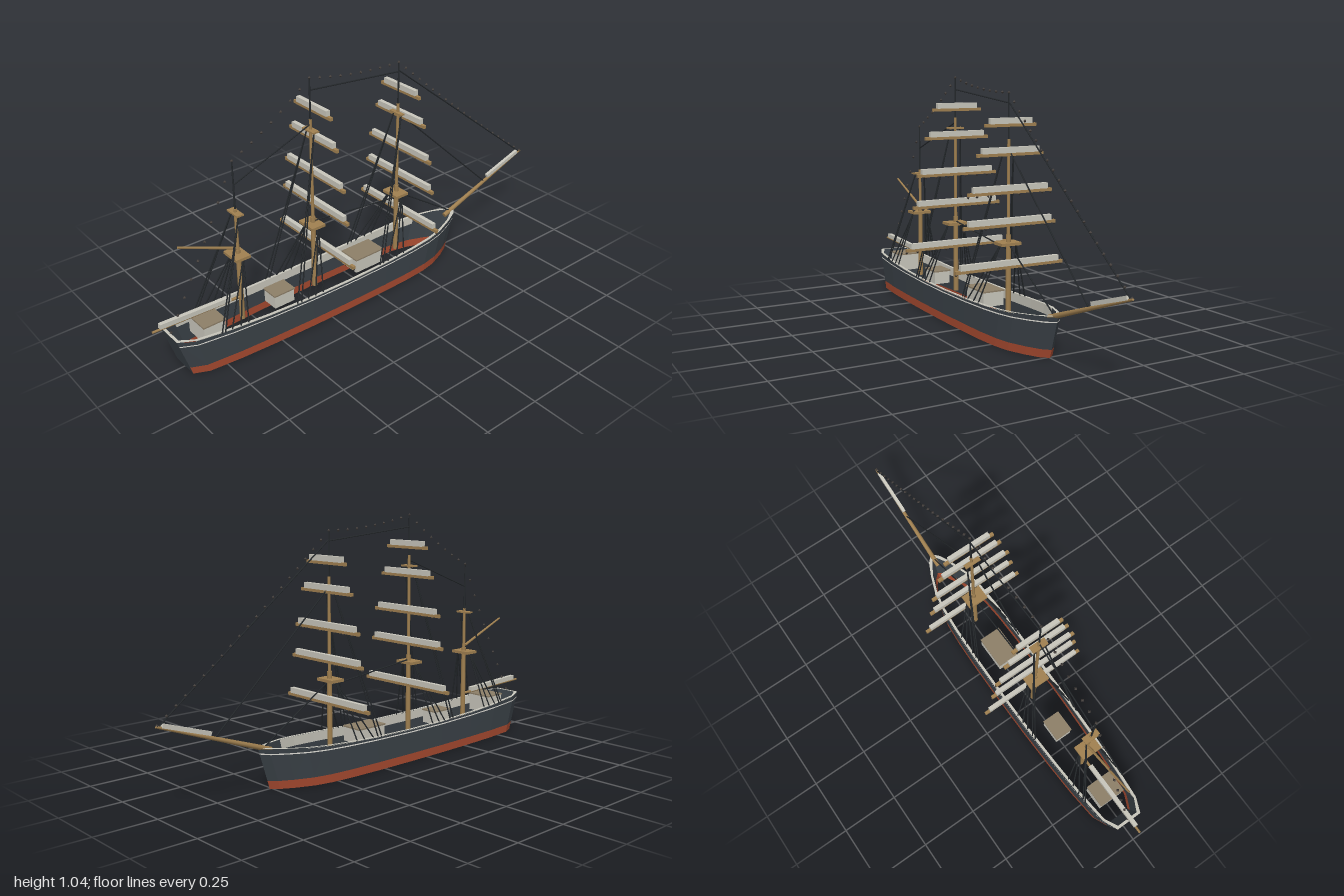
import * as THREE from 'three';

const mat = (name, color, side = THREE.FrontSide) => {
  const m = new THREE.MeshStandardMaterial({ color, side });
  m.name = name;
  return m;
};

export function createModel() {
  const ship = new THREE.Group();
  ship.name = 'sailingShip';
  const hullDark = mat('hullDark', 0x3a4147, THREE.DoubleSide);
  const hullRed = mat('hullRed', 0xa5492f, THREE.DoubleSide);
  const cream = mat('paleCanvas', 0xc8c6bb, THREE.DoubleSide);
  const white = mat('whiteTrim', 0xe6e4dc, THREE.DoubleSide);
  const wood = mat('sparWood', 0xa08050);
  const rope = mat('rigging', 0x25292c);
  const bulb = mat('lanternDark', 0x443f3c);
  const roof = mat('houseRoof', 0x8d7f68);

  const add = (name, geo, material, parent = ship) => {
    const mesh = new THREE.Mesh(geo, material);
    mesh.name = name;
    parent.add(mesh);
    return mesh;
  };
  const group = (name) => {
    const g = new THREE.Group();
    g.name = name;
    ship.add(g);
    return g;
  };
  const box = (name, w, h, d, x, y, z, material, parent) =>
    add(name, new THREE.BoxGeometry(w, h, d), material, parent).position.set(x, y, z);
  const up = new THREE.Vector3(0, 1, 0);
  // Round bar between two points
  const rod = (name, a, b, r0, r1, material, parent, sides = 8) => {
    const p = new THREE.Vector3(...a), q = new THREE.Vector3(...b), dir = q.clone().sub(p);
    const mesh = add(name, new THREE.CylinderGeometry(r1, r0, dir.length(), sides), material, parent);
    mesh.position.copy(p).add(q).multiplyScalar(0.5);
    mesh.quaternion.setFromUnitVectors(up, dir.normalize());
  };
  // Furled canvas: square bar lying along a sloping line in the centre plane
  const furl = (name, y0, z0, y1, z1, w, h) => {
    const mesh = add(name, new THREE.BoxGeometry(w, h, Math.hypot(y1 - y0, z1 - z0)), cream);
    mesh.position.set(0, (y0 + y1) / 2, (z0 + z1) / 2);
    mesh.rotation.x = -Math.atan2(y1 - y0, z1 - z0);
  };

  // Hull plan, bow to stern: half breadth and z at the rail
  const plan = [[0, -0.56], [0.03, -0.53], [0.06, -0.47], [0.09, -0.39], [0.105, -0.31], [0.113, -0.2],
    [0.117, -0.05], [0.118, 0.15], [0.116, 0.35], [0.11, 0.55], [0.102, 0.72], [0.088, 0.87], [0.06, 0.935]];
  const sheer = (z) => 0.137 + (z > 0.2 ? 0.06 * (z - 0.2) ** 2 : 0.055 * (z - 0.2) ** 2);
  const stripeY = (z) => 0.126 + 0.6 * (sheer(z) - 0.137);
  // Point on the hull skin, the ends raked inward toward the keel
  const skin = ([x, z], y, inset = 0) => {
    const f = 1 - y / sheer(z);
    return [Math.sign(x) * Math.max(0, Math.abs(x) - inset), y, z - f * 0.07 * (z - 0.18)];
  };
  const closed = [...plan, ...plan.slice(1).reverse().map(([x, z]) => [-x, z]), plan[0]];
  const strip = (name, pts, low, high, material, parent) => {
    const pos = [];
    for (let i = 0; i < pts.length - 1; i++) {
      const a = low(pts[i]), b = low(pts[i + 1]), c = high(pts[i + 1]), d = high(pts[i]);
      pos.push(...a, ...c, ...b, ...a, ...d, ...c);
    }
    const g = new THREE.BufferGeometry();
    g.setAttribute('position', new THREE.Float32BufferAttribute(pos, 3));
    g.computeVertexNormals();
    add(name, g, material, parent);
  };
  const hull = group('hull');
  for (const s of [1, -1]) {
    const side = plan.map(([x, z]) => [s * x, z]);
    strip('bottomPaint', side, (p) => skin(p, 0), (p) => skin(p, 0.034), hullRed, hull);
    strip('topsides', side, (p) => skin(p, 0.034), (p) => skin(p, sheer(p[1])), hullDark, hull);
    strip('trimStripe', side, (p) => skin(p, stripeY(p[1]), -0.0015),
      (p) => skin(p, stripeY(p[1]) + 0.005, -0.0015), white, hull);
    strip('innerBulwark', side.slice(3, -1), (p) => skin(p, sheer(p[1]) - 0.04, 0.004),
      (p) => skin(p, sheer(p[1]), 0.004), cream, hull);
  }
  strip('transom', [plan.at(-1), [-0.06, 0.935]], (p) => skin(p, 0), (p) => skin(p, sheer(p[1])), hullDark, hull);
  strip('railCap', closed, (p) => skin(p, sheer(p[1]) + 0.003), (p) => {
    const q = skin(p, sheer(p[1]) + 0.003, 0.011);
    q[2] -= Math.abs(p[1] - 0.18) > 0.7 ? Math.sign(p[1]) * 0.012 : 0;
    return q;
  }, cream, hull);

  // Deck houses: half width, front z, back z, top
  for (const [w, z0, z1, top] of [[0.05, -0.085, 0.065, 0.165], [0.04, 0.38, 0.48, 0.16], [0.06, 0.72, 0.82, 0.18]]) {
    const g = group('deckHouse'), zc = (z0 + z1) / 2;
    box('houseWalls', w * 2 - 0.006, top - 0.105, z1 - z0 - 0.006, 0, (top + 0.1) / 2, zc, cream, g);
    box('houseRoof', w * 2, 0.006, z1 - z0, 0, top, zc, roof, g);
  }

  const lantern = (x, y, z, parent) =>
    add('lantern', new THREE.OctahedronGeometry(0.007), bulb, parent).position.set(x, y, z);

  // Masts with tops, shrouds and yards
  const masts = [
    { name: 'foreMast', z: -0.2, top: 0.98, low: 0.42, mid: 0.8, plat: 0.385, cross: 0.76, beam: 0.11,
      feet: [0.05, 0.09, 0.14], back: [0.165, 0.185], yards: [0.293, 0.462, 0.592, 0.741, 0.855] },
    { name: 'mainMast', z: 0.25, top: 1.03, low: 0.43, mid: 0.86, plat: 0.4, cross: 0.815, beam: 0.112,
      feet: [0.04, 0.08, 0.115], back: [0.15, 0.17], yards: [0.302, 0.483, 0.618, 0.775, 0.895] },
    { name: 'mizzenMast', z: 0.61, top: 0.8, low: 0.42, mid: 0.6, plat: 0.4, cross: 0.583, beam: 0.1,
      feet: [0.035, 0.07, 0.11], back: [0.14, 0.155], yards: [] },
  ];
  const half = [0.245, 0.21, 0.19, 0.15, 0.115];
  for (const m of masts) {
    const g = group(m.name);
    rod('lowerMast', [0, 0.1, m.z], [0, m.low, m.z], 0.011, 0.01, wood, g);
    rod('topMast', [0, m.low - 0.03, m.z], [0, m.mid, m.z], 0.007, 0.006, wood, g);
    rod('mastPole', [0, m.mid - 0.02, m.z], [0, m.top, m.z], 0.004, 0.003, rope, g);
    box('mastTop', 0.09, 0.012, 0.065, 0, m.plat, m.z + 0.005, wood, g);
    box('crossTrees', 0.07, 0.007, 0.03, 0, m.cross, m.z, wood, g);
    for (const s of [1, -1]) {
      for (const f of m.feet)
        rod('shroud', [s * 0.035, m.plat, m.z], [s * m.beam, sheer(m.z + f), m.z + f], 0.003, 0.003, rope, g, 5);
      for (const f of m.back)
        rod('backstay', [s * 0.022, m.cross, m.z], [s * m.beam, sheer(m.z + f), m.z + f], 0.003, 0.003, rope, g, 5);
    }
    m.yards.forEach((y, i) => {
      const w = half[i], z = m.z - 0.013;
      box('yard', w * 2, 0.013, 0.013, 0, y, z, wood, g);
      box('furledSail', w * 2 - 0.042, 0.023, 0.018, 0, y + 0.017, z, cream, g);
      if (i < 3)
        for (const s of [1, -1]) for (const k of [0.22, 0.52, 0.78, 0.985]) lantern(s * w * k, y - 0.009, z, g);
    });
  }

  // Bowsprit, spanker gaff and boom with their furled canvas
  rod('bowsprit', [0, 0.155, -0.5], [0, 0.333, -0.995], 0.011, 0.005, wood);
  furl('furledJib', 0.268, -0.77, 0.333, -0.97, 0.014, 0.016);
  rod('gaff', [0, 0.43, 0.62], [0, 0.53, 0.862], 0.006, 0.004, wood);
  rod('boom', [0, 0.205, 0.61], [0, 0.216, 1], 0.006, 0.005, wood);
  furl('furledSpanker', 0.217, 0.66, 0.23, 0.97, 0.018, 0.02);

  // Fore-and-aft stays as [y, z] pairs
  const stays = group('stays');
  for (const [y0, z0, y1, z1] of [[0.7, 0.61, 0.84, 0.25], [0.98, 0.25, 0.94, -0.2], [0.945, -0.2, 0.33, -0.985],
    [0.76, -0.2, 0.25, -0.75], [0.41, 0.25, 0.36, -0.2], [0.385, -0.2, 0.165, -0.54]])
    rod('stay', [0, y0, z0], [0, y1, z1], 0.003, 0.003, rope, stays, 5);

  // Dressing line of lanterns over the mastheads, sagging between them
  const lights = group('dressingLanterns');
  const heads = [[0.18, 0.925], [0.8, 0.61], [1.03, 0.25], [0.98, -0.2], [0.335, -0.99]];
  const counts = [9, 8, 9, 20];
  counts.forEach((n, i) => {
    const [y0, z0] = heads[i], [y1, z1] = heads[i + 1];
    for (let k = 0; k < n; k++) {
      const t = k / n;
      lantern(0, y0 + (y1 - y0) * t - 0.06 * t * (1 - t), z0 + (z1 - z0) * t, lights);
    }
  });
  lantern(0, 0.335, -0.99, lights);
  return ship;
}
